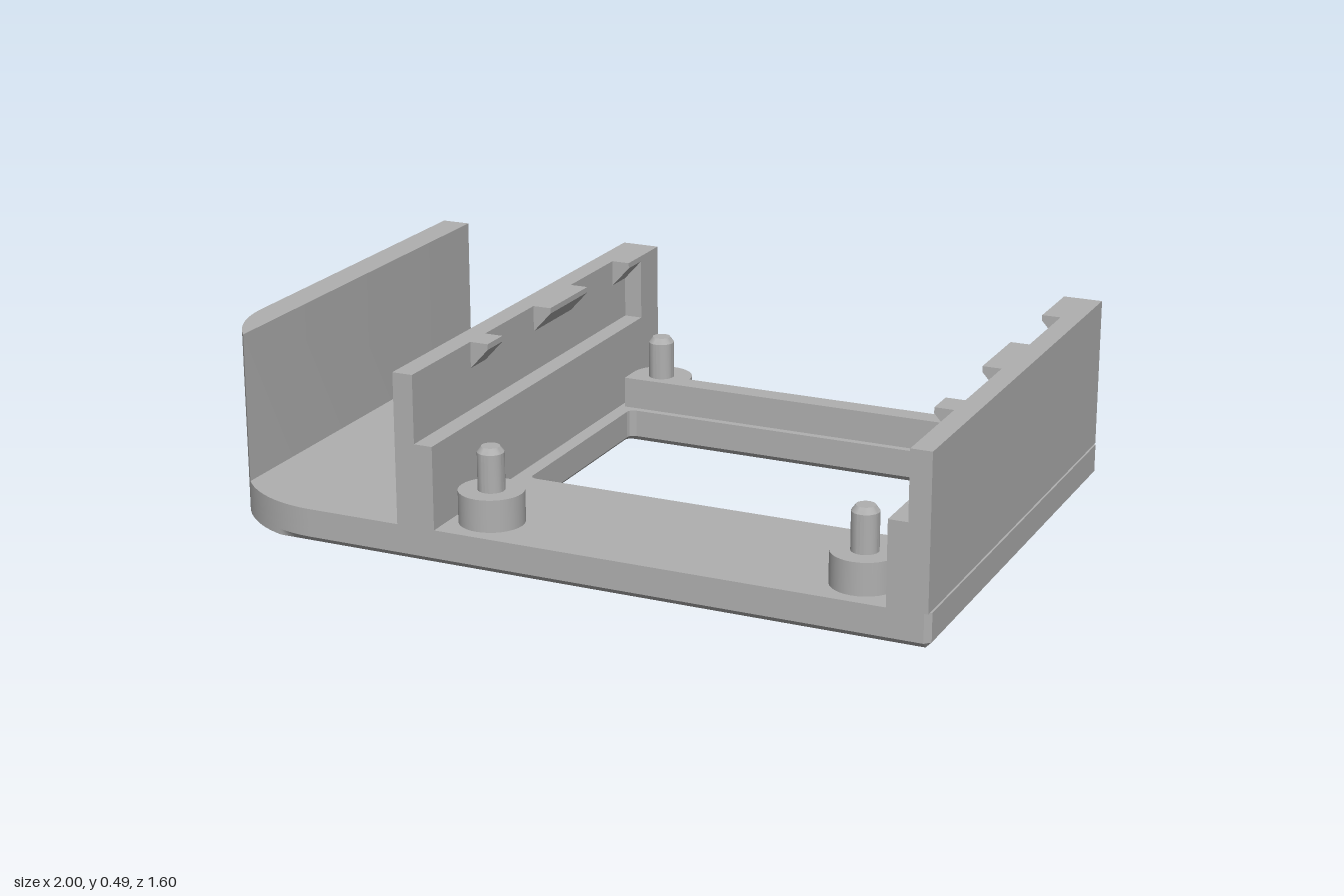
import * as THREE from 'three';
import { toCreasedNormals } from 'three/addons/utils/BufferGeometryUtils.js';

const FLOOR = 0.09, TOP = 0.49, CHAMFER = 0.015;

export function createModel() {
  const model = new THREE.Group();
  model.name = 'housing';
  const grey = new THREE.MeshStandardMaterial({ color: 0xb0b0b0 });
  grey.name = 'plain grey';

  const add = (name, geometry, parent = model) => {
    const mesh = new THREE.Mesh(geometry, grey);
    mesh.name = name;
    parent.add(mesh);
    return mesh;
  };

  // Horizontal slab: shapes are drawn in (x, -z) and raised from y0 to y1
  const slab = (shape, y0, y1) => {
    const g = new THREE.ExtrudeGeometry(shape, { depth: y1 - y0, bevelEnabled: false, curveSegments: 24 });
    g.rotateX(-Math.PI / 2).translate(0, y0, 0);
    return toCreasedNormals(g, 0.5);
  };
  const box = (x0, x1, y0, y1, z0, z1) =>
    new THREE.BoxGeometry(Math.abs(x1 - x0), y1 - y0, z1 - z0)
      .translate((x0 + x1) / 2, (y0 + y1) / 2, (z0 + z1) / 2);

  // Base outline with one concave and one convex corner, and a window
  const baseShape = () => {
    const s = new THREE.Shape();
    s.moveTo(-1, 0.8);
    s.absarc(-0.66, 0.866, 0.346, Math.PI + 0.192, Math.PI * 1.5, false);
    s.lineTo(1 - CHAMFER, 0.52);
    s.lineTo(1, 0.52 - CHAMFER);
    s.lineTo(1, -0.8 + CHAMFER);
    s.lineTo(1 - CHAMFER, -0.8);
    s.lineTo(-0.67, -0.8);
    s.absarc(-0.67, -0.47, 0.33, Math.PI * 1.5, Math.PI, true);
    const r = 0.02, x0 = -0.27, x1 = 0.85, y0 = -0.36, y1 = 0.25;
    const hole = new THREE.Path();
    hole.moveTo(x0 + r, y0);
    hole.absarc(x1 - r, y0 + r, r, -Math.PI / 2, 0, false);
    hole.absarc(x1 - r, y1 - r, r, 0, Math.PI / 2, false);
    hole.absarc(x0 + r, y1 - r, r, Math.PI / 2, Math.PI, false);
    hole.absarc(x0 + r, y0 + r, r, Math.PI, Math.PI * 1.5, false);
    s.holes.push(hole);
    return s;
  };

  // Lower layer: bottom edges pulled in, window edge flared out
  let rim = slab(baseShape(), 0, CHAMFER);
  const p = rim.attributes.position;
  for (let i = 0; i < p.count; i++) {
    if (p.getY(i) > 0.001) continue;
    let x = p.getX(i), z = p.getZ(i);
    if (x > -0.28 && x < 0.86 && z > -0.26 && z < 0.37) {
      x += Math.sign(x - 0.29) * CHAMFER;
      z += Math.sign(z - 0.055) * CHAMFER;
    } else {
      x = Math.min(x, 1 - CHAMFER);
      z = Math.min(z, 0.8 - CHAMFER);
      if (x > -0.72) z = Math.max(z, -0.52 + CHAMFER);
    }
    p.setXYZ(i, x, 0, z);
  }
  add('baseChamfer', toCreasedNormals(rim, 0.5));
  add('baseCore', slab(baseShape(), CHAMFER, 0.04));

  // Upper layer with a shallow slot behind the rail
  const upper = baseShape();
  upper.holes.push(new THREE.Path([
    [0.06, 0.335], [0.52, 0.335], [0.52, 0.43], [0.06, 0.43],
  ].map(([x, y]) => new THREE.Vector2(x, y))));
  add('baseFloor', slab(upper, 0.04, FLOOR));

  // Outer side wall following the rounded corner
  const side = new THREE.Shape();
  side.moveTo(-1, 0.52);
  side.lineTo(-0.92, 0.52);
  side.lineTo(-0.92, -0.685);
  side.absarc(-0.67, -0.47, 0.33, Math.PI + 0.711, Math.PI, true);
  add('outerWall', slab(side, FLOOR, TOP));

  // Two facing rail walls, stepped on the inside with overhanging clips
  const railWall = (name, fx) => {
    const wall = new THREE.Group();
    wall.name = name;
    model.add(wall);
    const [out, mid, inn] = [-0.415, -0.36, -0.31].map(fx);
    add('lowerWall', box(out, inn, FLOOR, 0.31, -0.52, 0.8), wall);
    add('upperWall', box(out, mid, 0.31, TOP, -0.52, 0.8), wall);
    add('endStop', box(mid, inn, 0.31, TOP, -0.52, -0.41), wall);
    for (const [z0, z1] of [[-0.41, -0.33], [-0.07, 0.15], [0.42, 0.5]]) {
      const clip = new THREE.Shape([[mid, 0.42], [inn, 0.475], [inn, TOP], [mid, TOP]]
        .map(([x, y]) => new THREE.Vector2(x, y)));
      const g = new THREE.ExtrudeGeometry(clip, { depth: z1 - z0, bevelEnabled: false });
      add('clip', g.translate(0, 0, z0), wall);
    }
  };
  railWall('middleWall', x => x);
  railWall('leftWall', x => 0.58 - x);

  // Back rail joining the two rear bosses
  const rail = new THREE.Shape();
  rail.moveTo(-0.295, 0.27);
  rail.lineTo(-0.295, 0.33);
  rail.absarc(-0.21, 0.33, 0.085, Math.PI, 0, true);
  rail.lineTo(0.705, 0.33);
  rail.absarc(0.79, 0.33, 0.085, Math.PI, 0, true);
  rail.lineTo(0.875, 0.27);
  add('backRail', slab(rail, FLOOR, 0.175));

  // Locating pins, and round bosses under the front pair
  const profile = [[0.035, 0.17], [0.035, 0.275], [0.024, 0.29], [0, 0.29]]
    .map(([x, y]) => new THREE.Vector2(x, y));
  for (const x of [-0.21, 0.79]) {
    for (const z of [-0.33, 0.68]) {
      const pin = toCreasedNormals(new THREE.LatheGeometry(profile, 24), 0.5);
      add('pin', pin.translate(x, 0, z));
    }
    add('frontBoss', new THREE.CylinderGeometry(0.085, 0.085, 0.085, 32)
      .translate(x, FLOOR + 0.0425, 0.68));
  }
  return model;
}
